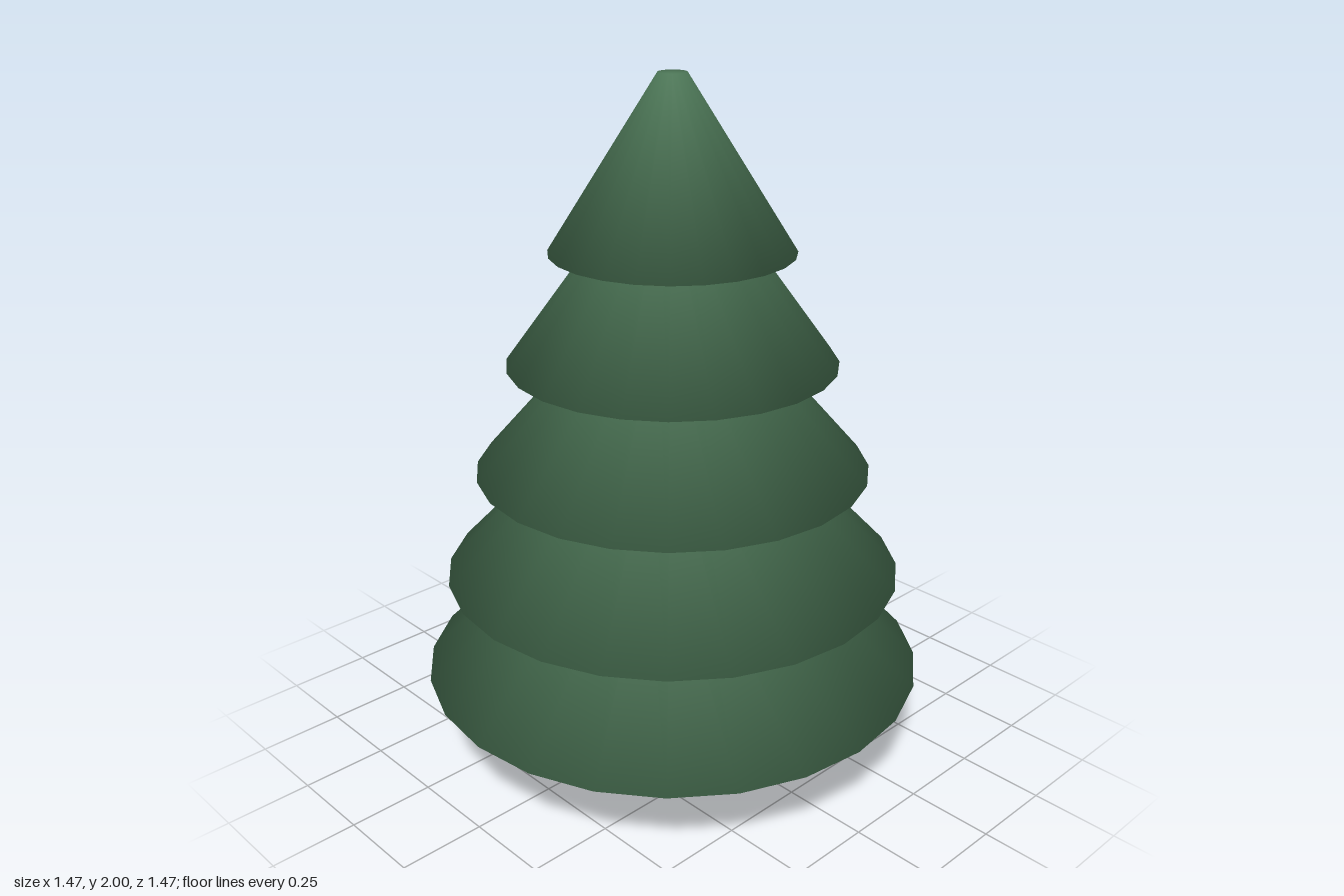
import * as THREE from 'three';

const SIDES = 24;

// Closed frustum whose normals are blended softly over the rims and the end caps.
function softFrustum(rBottom, rTop, y0, y1) {
  const profile = [[0, y0], [rBottom, y0], [rTop, y1], [0, y1]].map(([r, y]) => new THREE.Vector2(r, y));
  const geometry = new THREE.LatheGeometry(profile, SIDES);
  const slope = Math.atan2(rBottom - rTop, y1 - y0);
  const low = (slope - Math.PI / 2) / 2;
  const high = (slope + Math.PI / 2) / 2;
  // [radial, vertical] normal for each profile point
  const normals = [
    [0, Math.sin(low)],
    [Math.cos(low), Math.sin(low)],
    [Math.cos(high), Math.sin(high)],
    [0, Math.sin(high)],
  ];
  const attribute = geometry.attributes.normal;
  for (let i = 0; i < attribute.count; i++) {
    const [nr, ny] = normals[i % 4];
    const phi = (Math.floor(i / 4) / SIDES) * Math.PI * 2;
    attribute.setXYZ(i, nr * Math.sin(phi), ny, nr * Math.cos(phi));
  }
  return geometry;
}

export function createModel() {
  const tree = new THREE.Group();
  tree.name = 'pineTree';

  const bark = new THREE.MeshStandardMaterial({ color: 0x634a3a });
  const needles = new THREE.MeshStandardMaterial({ color: 0x4a7354 });

  // Trunk, running up into the lowest tier
  const trunk = new THREE.Mesh(new THREE.CylinderGeometry(0.098, 0.098, 0.4, SIDES), bark);
  trunk.position.y = 0.2;
  trunk.name = 'trunk';
  tree.add(trunk);

  // Foliage tiers from bottom to top: rim radius, top radius, base height
  const tiers = [
    [0.737, 0.25, 0.26],
    [0.665, 0.21, 0.567],
    [0.568, 0.15, 0.885],
    [0.47, 0.12, 1.203],
    [0.344, 0.04, 1.52],
  ];
  tiers.forEach(([rim, top, base], i) => {
    const tier = new THREE.Mesh(softFrustum(rim, top, base, base + 0.48), needles);
    tier.name = `foliageTier${i + 1}`;
    tree.add(tier);
  });

  return tree;
}
